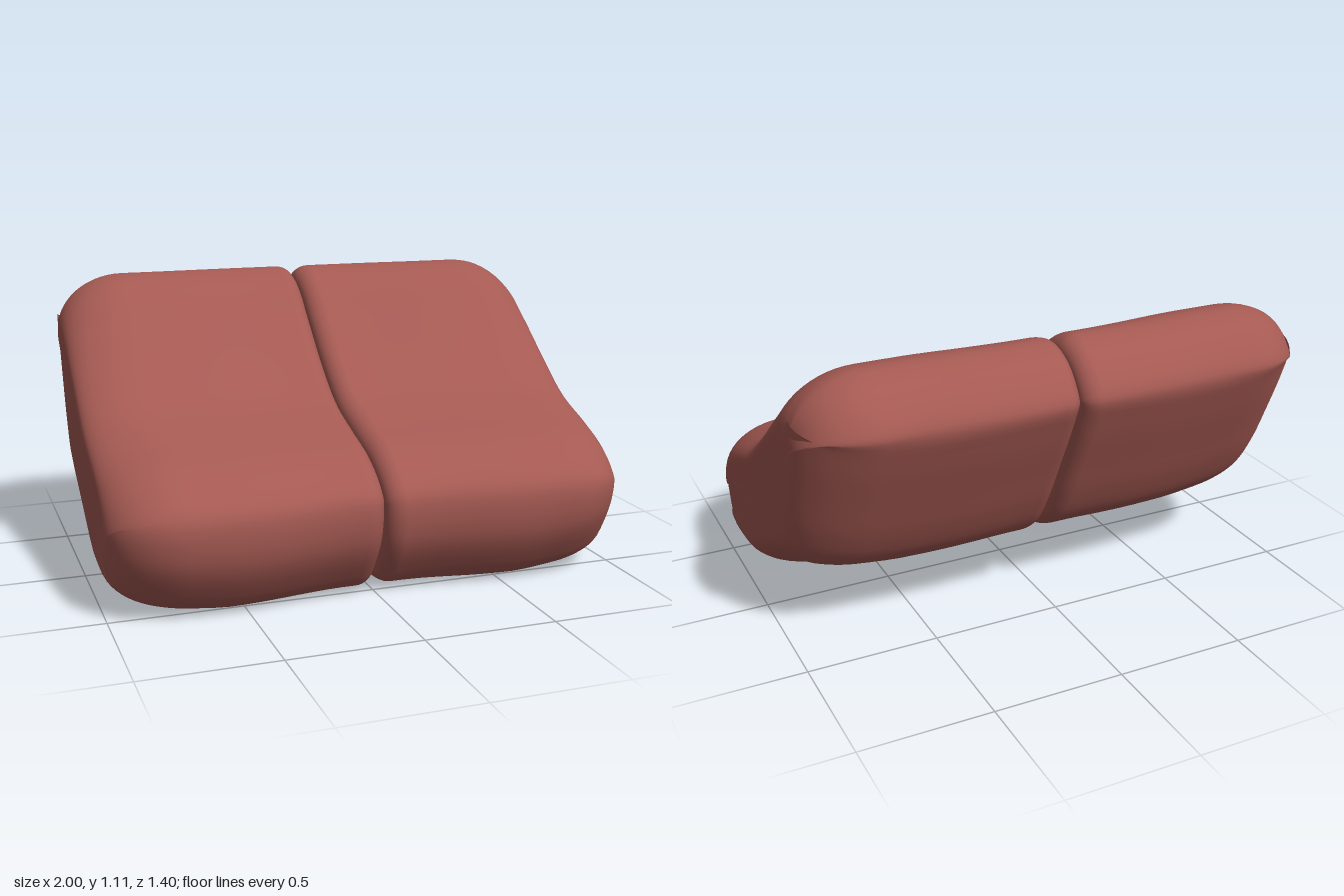
import * as THREE from 'three';

const upholstery = new THREE.MeshStandardMaterial({ color: 0xa55a53 });
upholstery.name = 'dusty red upholstery';

// Side outline as [z, y, outer edge rounding], from the front over the top and back underneath
const outline = new THREE.CatmullRomCurve3([
  [0.70, 0.33, 0.22], [0.69, 0.41, 0.22], [0.63, 0.48, 0.2], [0.51, 0.55, 0.16],
  [0.34, 0.605, 0.12], [0.16, 0.67, 0.11], [0, 0.78, 0.11], [-0.18, 0.94, 0.14],
  [-0.30, 1.05, 0.18], [-0.40, 1.10, 0.21], [-0.50, 1.11, 0.22], [-0.60, 1.07, 0.23],
  [-0.68, 0.98, 0.23], [-0.70, 0.92, 0.23], [-0.66, 0.81, 0.21], [-0.56, 0.60, 0.18],
  [-0.48, 0.44, 0.17], [-0.40, 0.32, 0.17], [-0.30, 0.25, 0.17], [-0.15, 0.19, 0.15],
  [0, 0.11, 0.15], [0.12, 0.05, 0.15], [0.22, 0.02, 0.15], [0.45, 0.005, 0.16],
  [0.55, 0.03, 0.18], [0.62, 0.11, 0.2], [0.68, 0.22, 0.22],
].map(p => new THREE.Vector3(...p)), true);

const SIDES = 120;
const CENTRE = { z: 0, y: 0.43 };
const smooth = THREE.MathUtils.smoothstep;

// Cross-sections from the seam outward: position, inner and outer rounding, cap scale
function makeStations() {
  const list = [[0.002, 1, 0, 0], [0.002, 1, 0, 0.5], [0.002, 1, 0, 0.9]];
  const steps = 10, inner = 0.07, outer = 0.27;
  for (let i = 0; i <= steps; i++) {
    const a = i / steps * Math.PI / 2;
    list.push([0.002 + inner * (1 - Math.cos(a)), 1 - Math.sin(a), 0, 1]);
  }
  for (let i = 1; i < 12; i++) list.push([0.072 + (0.658 * i) / 12, 0, 0, 1]);
  for (let i = 0; i <= steps + 4; i++) {
    const a = i / (steps + 4) * Math.PI / 2;
    list.push([1 - outer + outer * Math.sin(a), 0, 1 - Math.cos(a), 1]);
  }
  list.push([1, 0, 1, 0.9], [1, 0, 1, 0.5], [1, 0, 1, 0]);
  return list;
}

function cushionGeometry(side) {
  const stations = makeStations(), positions = [], index = [];
  for (const [x, innerEdge, outerEdge, scale] of stations) {
    for (let j = 0; j < SIDES; j++) {
      const p = outline.getPoint(j / SIDES), t = outline.getTangent(j / SIDES);
      const len = Math.hypot(t.x, t.y), nz = t.y / len, ny = -t.x / len;
      // soft padding: front and underside fullest mid-cushion, back fullest near the seam
      const sag = 0.033 * Math.max(0, nz) * (1 - smooth(x, 0.12, 0.58))
        + 0.016 * Math.max(0, -nz) * smooth(x, 0.25, 0.65)
        + Math.max(0, -ny) * (0.01 * (1 - smooth(x, 0.1, 0.5)) + 0.025 * smooth(x, 0.55, 0.85));
      const inset = sag + 0.065 * innerEdge + p.z * outerEdge;
      const z = p.x - nz * inset, y = p.y - ny * inset;
      positions.push(side * x,
        CENTRE.y + (y - CENTRE.y) * scale,
        CENTRE.z + (z - CENTRE.z) * scale);
    }
  }
  for (let i = 0; i < stations.length - 1; i++) {
    for (let j = 0; j < SIDES; j++) {
      const k = (j + 1) % SIDES;
      const a = i * SIDES + j, b = a + SIDES, c = (i + 1) * SIDES + k, d = i * SIDES + k;
      if (side > 0) index.push(a, b, c, a, c, d);
      else index.push(a, c, b, a, d, c);
    }
  }
  const g = new THREE.BufferGeometry();
  g.setAttribute('position', new THREE.Float32BufferAttribute(positions, 3));
  g.setIndex(index);
  g.computeVertexNormals();
  return g;
}

export function createModel() {
  const model = new THREE.Group();
  model.name = 'loungeSofa';
  // two mirrored cushions meeting at the centre seam
  for (const [name, side] of [['leftCushion', 1], ['rightCushion', -1]]) {
    const cushion = new THREE.Mesh(cushionGeometry(side), upholstery);
    cushion.name = name;
    model.add(cushion);
  }
  return model;
}
